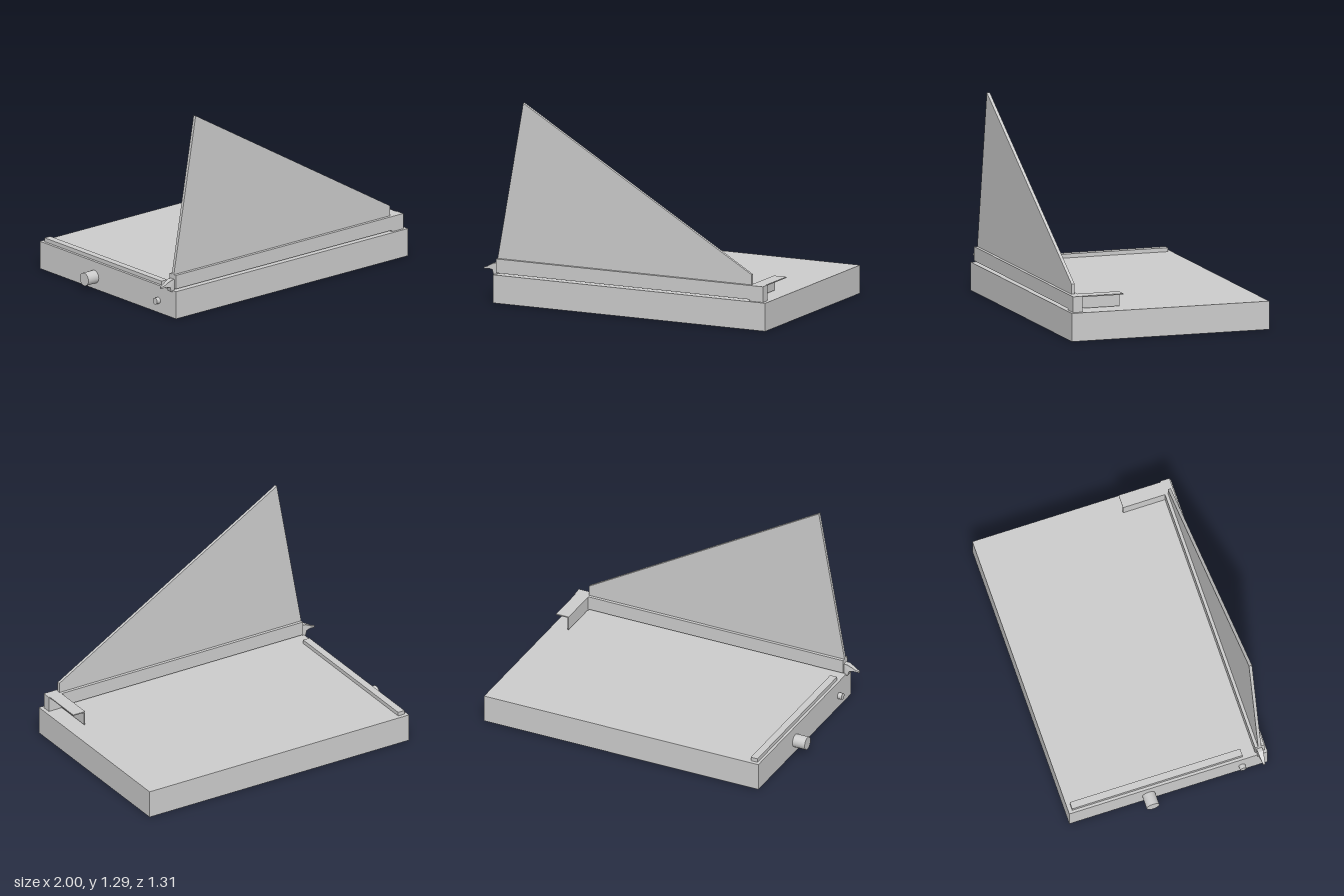
import * as THREE from 'three';

const material = new THREE.MeshStandardMaterial({ color: 0xcccccc });

export function createModel() {
  const model = new THREE.Group();

  const add = (name, geometry) => {
    const mesh = new THREE.Mesh(geometry, material);
    mesh.name = name;
    model.add(mesh);
    return mesh;
  };

  // Box given by its lowest and highest corner
  const box = (name, [x0, y0, z0], [x1, y1, z1]) =>
    add(name, new THREE.BoxGeometry(x1 - x0, y1 - y0, z1 - z0))
      .position.set((x0 + x1) / 2, (y0 + y1) / 2, (z0 + z1) / 2);

  // Plate cut from an outline in x and y, centred on depth z
  const plate = (points, z, depth) => {
    const shape = new THREE.Shape(points.map(([x, y]) => new THREE.Vector2(x, y)));
    return new THREE.ExtrudeGeometry(shape, { depth, bevelEnabled: false })
      .translate(0, 0, z - depth / 2);
  };

  // Round stub pointing out of the -x side of the base
  const stub = (name, radius, tipX, z) => {
    const length = -0.91 - tipX;
    const mesh = add(name, new THREE.CylinderGeometry(radius, radius, length, 24));
    mesh.rotation.z = Math.PI / 2;
    mesh.position.set(tipX + length / 2, 0.08, z);
  };

  // Base board and the low fence along one edge
  box('baseBoard', [-0.915, 0, -0.655], [1, 0.18, 0.655]);
  box('sideFence', [-0.897, 0.18, -0.63], [-0.85, 0.205, 0.495]);

  // Bar just above the board, carried by a foot at one end
  box('bar', [-0.9, 0.19, 0.577], [0.975, 0.28, 0.638]);
  box('barFoot', [0.88, 0.18, 0.577], [0.975, 0.19, 0.638]);

  // Angle bracket: thin top flange with a wall below its inner edge
  box('bracketFlange', [0.88, 0.273, 0.3], [0.968, 0.28, 0.577]);
  box('bracketWall', [0.88, 0.187, 0.3], [0.887, 0.273, 0.577]);

  // Upright triangular panel
  add('panel', plate(
    [[-0.9, 0.28], [0.885, 0.28], [0.885, 0.345], [-0.72, 1.29]], 0.607, 0.02));

  // Lever at the bar's end, narrowing towards its tip
  const lever = plate([
    [-0.9, 0.25], [-0.925, 0.25], [-0.955, 0.235], [-0.975, 0.222], [-1, 0.215],
    [-1, 0.205], [-0.96, 0.21], [-0.935, 0.205], [-0.925, 0.172], [-0.9, 0.172],
  ], 0, 0.036);
  const p = lever.attributes.position;
  for (let i = 0; i < p.count; i++) {
    const t = Math.min(1, (p.getX(i) + 1) / 0.07);
    p.setZ(i, p.getZ(i) * (0.35 + 0.65 * t) + 0.605);
  }
  lever.computeVertexNormals();
  add('lever', lever);

  // Knob and button on the side
  stub('knob', 0.042, -1, -0.13);
  stub('button', 0.021, -0.943, 0.485);

  return model;
}
